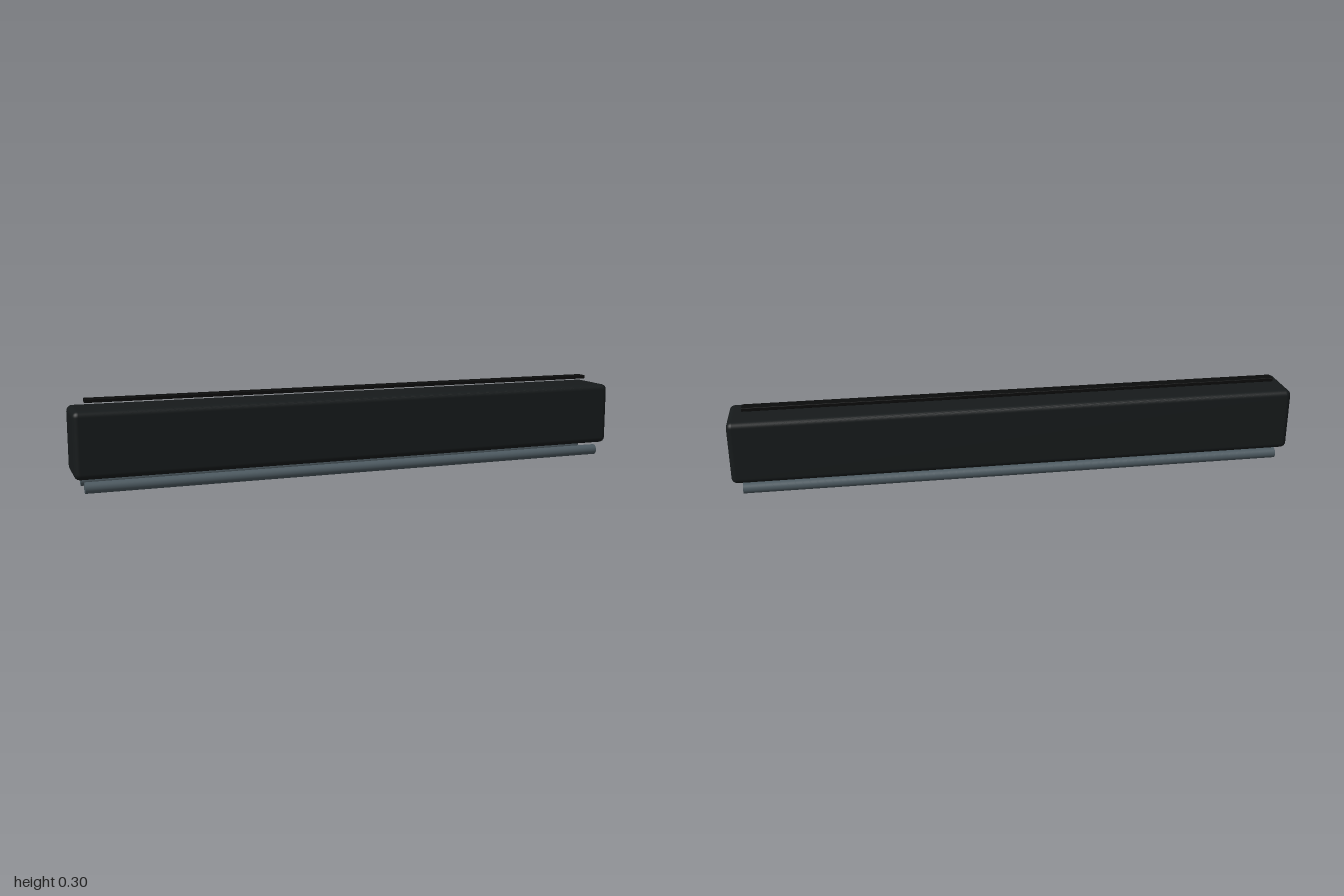
import * as THREE from 'three';
import { RoundedBoxGeometry } from 'three/addons/geometries/RoundedBoxGeometry.js';

export function createModel() {
  const model = new THREE.Group();
  model.name = 'longBar';

  const add = (name, geometry, color, x, y, z) => {
    const mesh = new THREE.Mesh(geometry, new THREE.MeshStandardMaterial({ color }));
    mesh.name = name;
    mesh.position.set(x, y, z);
    model.add(mesh);
    return mesh;
  };

  // Long housing with rounded edges
  add('housing', new RoundedBoxGeometry(2, 0.225, 0.194, 5, 0.02), 0x161a1b, 0, 0.1625, 0);

  // Thin strip floating just above the housing
  add('topStrip', new RoundedBoxGeometry(1.9, 0.013, 0.04, 2, 0.002), 0x0b0c0c, 0, 0.2975, -0.009);

  // Pair of round rails underneath, running the full length
  const rail = new THREE.CylinderGeometry(0.019, 0.019, 1.932, 32).rotateZ(Math.PI / 2);
  add('frontRail', rail, 0x4d5a61, 0, 0.02, 0.065);
  add('backRail', rail, 0x4d5a61, 0, 0.02, -0.061);

  return model;
}
